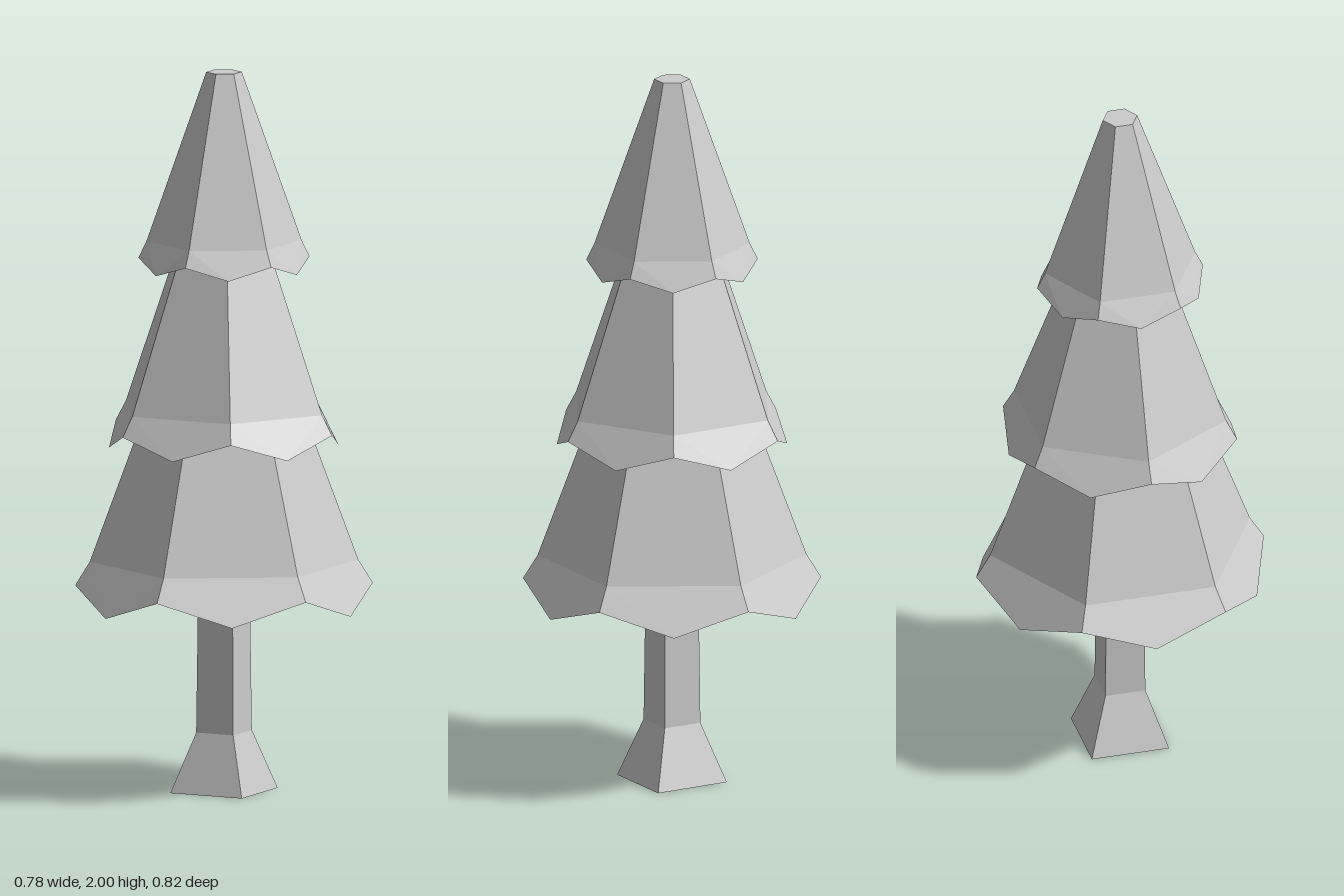
import * as THREE from 'three';

const solid = new THREE.MeshStandardMaterial({ color: 0xcccccc, flatShading: true });
const thin = new THREE.MeshStandardMaterial({ color: 0xcccccc, flatShading: true, side: THREE.DoubleSide });

function mesh(name, geometry, material) {
  const m = new THREE.Mesh(geometry, material);
  m.name = name;
  return m;
}

const polar = (r, y, a) => [r * Math.sin(a), y, r * Math.cos(a)];

// Open flared hem: six five-sided panels, each hanging to a point in the middle
function skirtGeometry({ bend, corner, point }) {
  const positions = [];
  const step = Math.PI / 3;
  for (let i = 0; i < 6; i++) {
    const a = i * step, b = a + step;
    const topA = polar(...bend, a), topB = polar(...bend, b);
    const lowA = polar(...corner, a), lowB = polar(...corner, b);
    const tip = polar(...point, a + step / 2);
    for (const tri of [[topA, lowA, tip], [topA, tip, topB], [topB, tip, lowB]]) {
      positions.push(...tri.flat());
    }
  }
  const geometry = new THREE.BufferGeometry();
  geometry.setAttribute('position', new THREE.Float32BufferAttribute(positions, 3));
  geometry.computeVertexNormals();
  return geometry;
}

// One layer of foliage: closed six-sided cone plus its hem
function foliageTier(name, tier) {
  const group = new THREE.Group();
  group.name = name;
  const [rTop, yTop] = tier.top, [rBend, yBend] = tier.bend;
  const cone = new THREE.CylinderGeometry(rTop, rBend, yTop - yBend, 6);
  cone.translate(0, (yTop + yBend) / 2, 0);
  group.add(mesh(name + 'Cone', cone, solid));
  group.add(mesh(name + 'Skirt', skirtGeometry(tier), thin));
  group.rotation.y = tier.turn;
  return group;
}

export function createModel() {
  const tree = new THREE.Group();
  tree.name = 'tree';

  // Square trunk with a flared foot: [half width, height]
  const profile = [[0, 0], [0.11, 0], [0.057, 0.165], [0.052, 0.66], [0, 0.66]]
    .map(([w, y]) => new THREE.Vector2(w * Math.SQRT2, y));
  tree.add(mesh('trunk', new THREE.LatheGeometry(profile, 4, Math.PI / 4), solid));

  // Foliage rings: [radius, height]; the middle tier is turned half a panel
  tree.add(foliageTier('lowerFoliage', {
    top: [0.212, 1.07], bend: [0.37, 0.64], corner: [0.41, 0.575], point: [0.39, 0.51], turn: 0,
  }));
  tree.add(foliageTier('middleFoliage', {
    top: [0.132, 1.535], bend: [0.302, 1.065], corner: [0.333, 1.01], point: [0.317, 0.957], turn: Math.PI / 6,
  }));
  tree.add(foliageTier('upperFoliage', {
    top: [0.049, 2], bend: [0.214, 1.53], corner: [0.236, 1.485], point: [0.224, 1.45], turn: 0,
  }));

  return tree;
}
